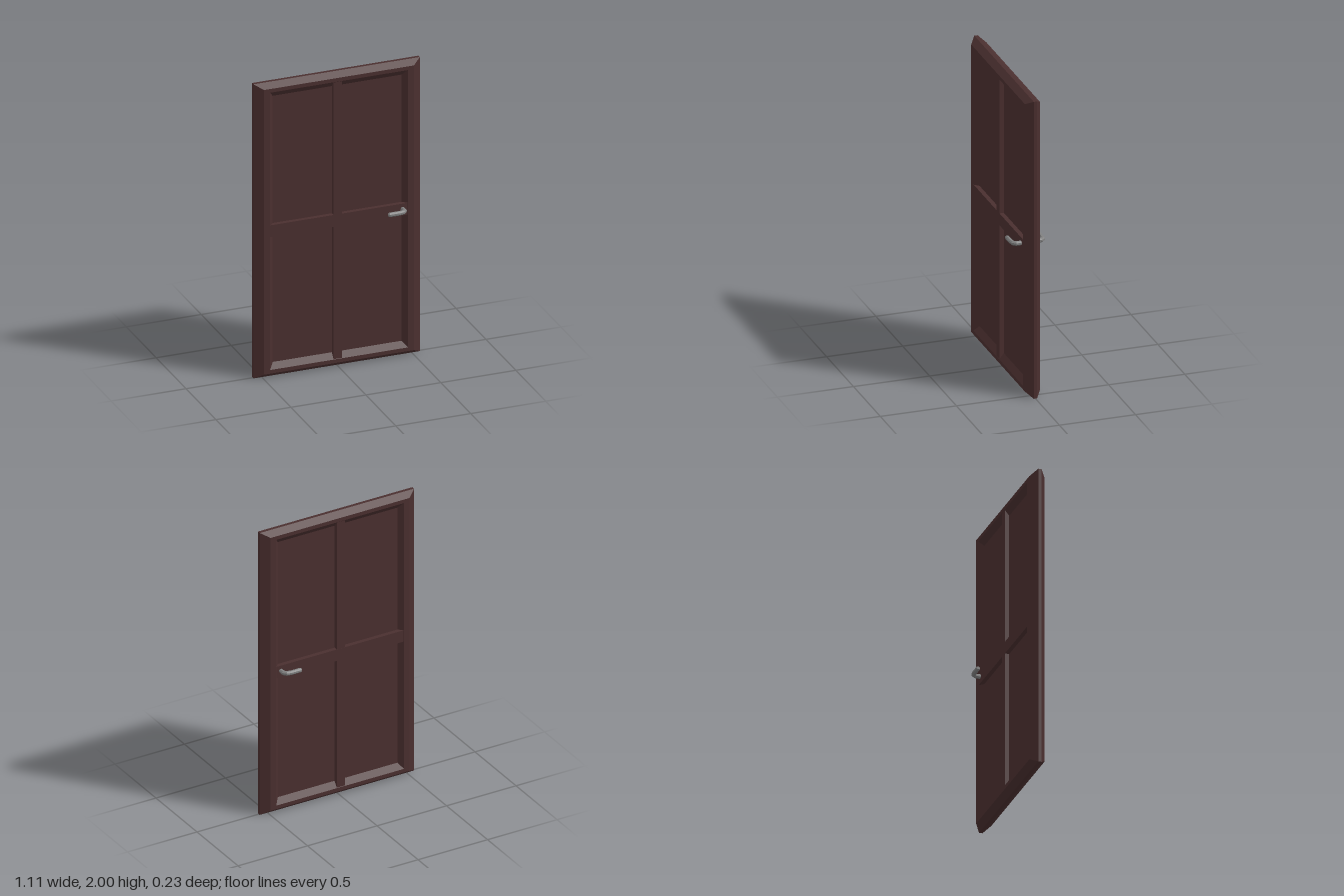
import * as THREE from 'three';

// Flat-shaded skin through a series of equal-sized rings, with an optional end cap
function loft(rings, capEnd = false) {
  const tris = [];
  const n = rings[0].length;
  for (let i = 0; i < rings.length - 1; i++) {
    for (let k = 0; k < n; k++) {
      const j = (k + 1) % n;
      const a = rings[i][k], b = rings[i][j], c = rings[i + 1][j], d = rings[i + 1][k];
      tris.push(a, d, c, a, c, b);
    }
  }
  if (capEnd) {
    const last = rings[rings.length - 1];
    for (let k = 1; k < n - 1; k++) tris.push(last[0], last[k + 1], last[k]);
  }
  const geometry = new THREE.BufferGeometry().setFromPoints(tris);
  geometry.computeVertexNormals();
  return geometry;
}

// Rectangular ring around the door's centre
function frameRing([hx, hy, z]) {
  return [[1, 1], [-1, 1], [-1, -1], [1, -1]].map(([sx, sy]) => new THREE.Vector3(sx * hx, sy * hy, z));
}

// Eight-sided tube with mitred bends along a path of [x, z, radius]
function leverGeometry(path, sides = 8) {
  const points = path.map(([x, z]) => new THREE.Vector3(x, 0, z));
  const up = new THREE.Vector3(0, 1, 0);
  const rings = points.map((p, i) => {
    const before = points[Math.max(i - 1, 0)], after = points[Math.min(i + 1, points.length - 1)];
    const tIn = (i > 0 ? p.clone().sub(before) : after.clone().sub(p)).normalize();
    const tOut = (i < points.length - 1 ? after.clone().sub(p) : tIn.clone()).normalize();
    const t = tIn.clone().add(tOut).normalize();
    const side = new THREE.Vector3(t.z, 0, -t.x).divideScalar(t.dot(tIn));
    return Array.from({ length: sides }, (_, k) => {
      const angle = ((k + 0.5) / sides) * Math.PI * 2;
      return p.clone()
        .addScaledVector(up, Math.cos(angle) * path[i][2])
        .addScaledVector(side, Math.sin(angle) * path[i][2]);
    });
  });
  return loft(rings, true);
}

export function createModel() {
  const wood = new THREE.MeshStandardMaterial({ color: 0x4a2f2f });
  wood.name = 'dark wood';
  const metal = new THREE.MeshStandardMaterial({ color: 0x808080 });
  metal.name = 'grey metal';

  const door = new THREE.Group();
  door.name = 'door';
  const add = (name, geometry, material, x = 0, y = 1, z = 0) => {
    const mesh = new THREE.Mesh(geometry, material);
    mesh.name = name;
    mesh.position.set(x, y, z);
    door.add(mesh);
    return mesh;
  };

  // Frame: inner bevel, flat face and outer bevel, the same on both sides
  const profile = [
    [0.43, 0.905, 0.02],
    [0.46, 0.943, 0.05],
    [0.5, 0.968, 0.05],
    [0.555, 1, 0.011],
  ];
  const back = profile.map(([x, y, z]) => [x, y, -z]).reverse();
  add('frame', loft([...profile, ...back].map(frameRing)), wood);

  // Recessed panel and the crossing bars
  add('panel', new THREE.BoxGeometry(0.86, 1.81, 0.04), wood);
  add('verticalBar', new THREE.BoxGeometry(0.058, 1.886, 0.096), wood, -0.007);
  add('horizontalBar', new THREE.BoxGeometry(0.92, 0.08, 0.097), wood);

  // Lever handles, one on each side
  const lever = leverGeometry([
    [0.425, 0.03, 0.0145],
    [0.425, 0.08, 0.0145],
    [0.411, 0.097, 0.0145],
    [0.38, 0.102, 0.0145],
    [0.316, 0.102, 0.0145],
    [0.308, 0.102, 0.009],
  ]);
  add('frontHandle', lever, metal, 0, 1.004);
  add('backHandle', lever, metal, 0, 1.004).rotation.x = Math.PI;

  return door;
}
